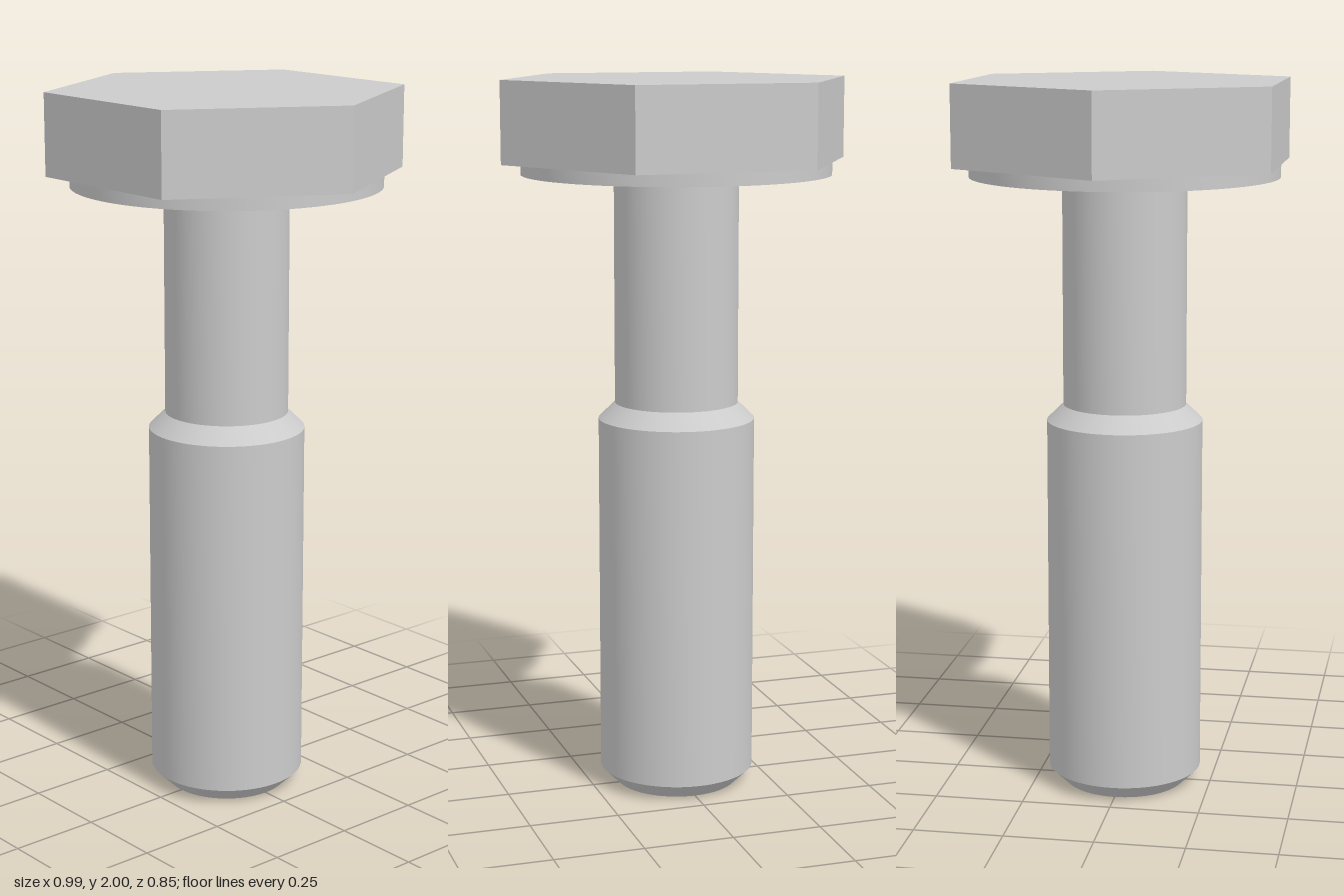
import * as THREE from 'three';
import { toCreasedNormals } from 'three/addons/utils/BufferGeometryUtils.js';

const material = new THREE.MeshStandardMaterial({ color: 0xcccccc });

function addMesh(group, name, geometry) {
  const mesh = new THREE.Mesh(toCreasedNormals(geometry, 0.4), material);
  mesh.name = name;
  group.add(mesh);
  return mesh;
}

// Turned part from [radius, height] pairs
function turned(profile) {
  return new THREE.LatheGeometry(profile.map(([r, y]) => new THREE.Vector2(r, y)), 72);
}

export function createModel() {
  const bolt = new THREE.Group();
  bolt.name = 'hexBolt';

  const headBase = 1.775, headTop = 2, seatY = 1.74;
  const flat = 0.427, corner = flat / Math.cos(Math.PI / 6);
  const neckR = 0.172, bodyR = 0.218, chamfer = 0.045, bodyTop = 1.105;

  // Shank: conical centre hole, chamfered thick body, thinner neck
  addMesh(bolt, 'shank', turned([
    [0, 0.165], [0.096, 0], [neckR, 0],
    [bodyR, chamfer], [bodyR, bodyTop - chamfer],
    [neckR, bodyTop], [neckR, headBase],
  ]));

  // Raised bearing ring under the head, recessed inside
  addMesh(bolt, 'bearingRing', turned([
    [0.37, headBase], [0.37, seatY], [flat, seatY], [flat, headBase],
  ]));

  // Hexagonal head with corners on the x axis
  const head = addMesh(bolt, 'hexHead', new THREE.CylinderGeometry(
    corner, corner, headTop - headBase, 6, 1, false, Math.PI / 2));
  head.position.y = (headTop + headBase) / 2;

  return bolt;
}
